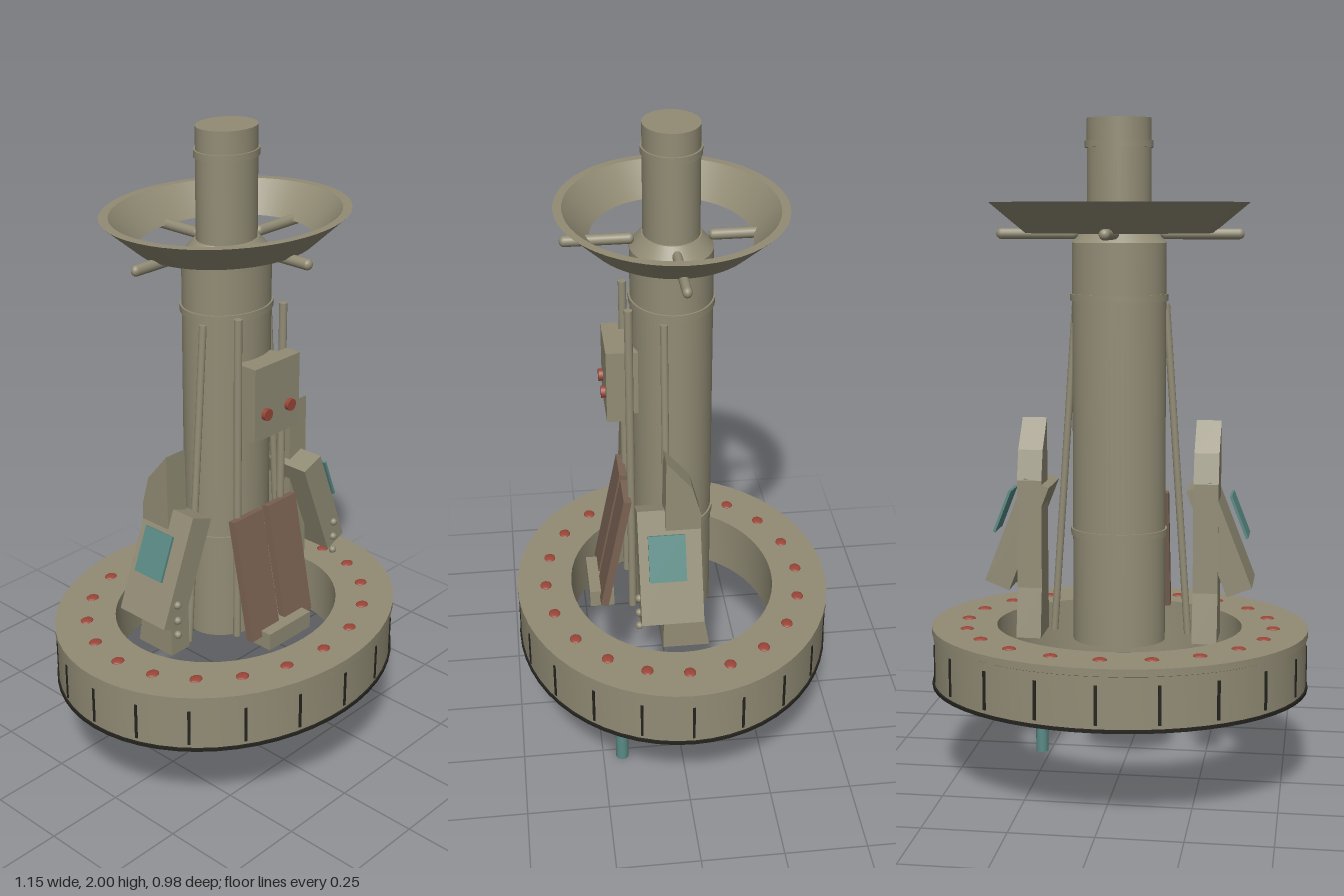
import * as THREE from 'three';
import { toCreasedNormals } from 'three/addons/utils/BufferGeometryUtils.js';

const mat = (name, color) => {
  const m = new THREE.MeshStandardMaterial({ color });
  m.name = name;
  return m;
};

export function createModel() {
  const olive = mat('olive metal', 0x928c75);
  const red = mat('red', 0x9a4538);
  const teal = mat('teal', 0x5a8a85);
  const brown = mat('brown', 0x7b6353);
  const dark = mat('dark seam', 0x24231e);

  const model = new THREE.Group();
  model.name = 'tower';
  // Everything turned on the main axis is slightly flattened front to back
  const round = new THREE.Group();
  round.name = 'roundParts';
  round.scale.z = 0.85;
  model.add(round);

  const add = (parent, name, geo, material, x = 0, y = 0, z = 0) => {
    const m = new THREE.Mesh(geo, material);
    m.name = name;
    m.position.set(x, y, z);
    parent.add(m);
    return m;
  };
  const lathe = (name, pts, material = olive) => add(round, name, toCreasedNormals(
    new THREE.LatheGeometry(pts.map(p => new THREE.Vector2(...p)), 56), 0.35), material);
  const box = (w, h, d) => new THREE.BoxGeometry(w, h, d);
  const rod = (name, a, b, r, material = olive) => {
    const p = new THREE.Vector3(...a), q = new THREE.Vector3(...b);
    const dir = q.clone().sub(p);
    const m = add(model, name, new THREE.CylinderGeometry(r, r, dir.length(), 14), material);
    m.position.copy(p).add(q).multiplyScalar(0.5);
    m.quaternion.setFromUnitVectors(new THREE.Vector3(0, 1, 0), dir.normalize());
    return m;
  };

  // Base ring with dark lower seam
  lathe('baseRing', [[0.375, 0.302], [0.57, 0.302], [0.57, 0.46], [0.575, 0.462],
    [0.575, 0.484], [0.375, 0.484], [0.375, 0.302]]);
  lathe('baseSeam', [[0.565, 0.299], [0.576, 0.299], [0.576, 0.309], [0.565, 0.309], [0.565, 0.299]], dark);
  const boltGeo = new THREE.SphereGeometry(0.021, 16, 6, 0, Math.PI * 2, 0, Math.PI / 2);
  boltGeo.scale(1, 0.3, 1);
  for (let i = 0; i < 20; i++) {
    const a = i * Math.PI / 10, s = Math.sin(a), c = Math.cos(a);
    add(round, 'ringBolt', boltGeo, red, 0.47 * s, 0.484, 0.47 * c);
    add(round, 'ringSlit', box(0.009, 0.115, 0.008), dark, 0.569 * s, 0.378, 0.569 * c).rotation.y = a;
  }

  // Central column, neck and bands
  lathe('column', [[0, 0.44], [0.14, 0.44], [0.14, 1.64], [0.125, 1.655], [0.1, 1.68], [0, 1.68]]);
  lathe('neck', [[0, 1.66], [0.095, 1.66], [0.095, 2], [0, 2]]);
  for (const [y, r] of [[0.775, 0.14], [1.48, 0.14], [1.925, 0.095]]) {
    lathe('band', [[r - 0.005, y - 0.01], [r + 0.006, y - 0.01], [r + 0.006, y + 0.01],
      [r - 0.005, y + 0.01], [r - 0.005, y - 0.01]]);
  }

  // Flared dish and its four spokes
  lathe('dish', [[0.27, 1.668], [0.278, 1.668], [0.386, 1.757], [0.357, 1.757], [0.27, 1.668]]);
  for (let i = 0; i < 4; i++) {
    const a = i * Math.PI / 2;
    const spoke = add(round, 'spoke', new THREE.CapsuleGeometry(0.016, 0.215, 6, 14), olive,
      0.246 * Math.cos(a), 1.666, 0.246 * Math.sin(a));
    spoke.rotation.set(0, -a, Math.PI / 2);
  }

  // Control box with two buttons
  add(model, 'controlBox', box(0.19, 0.225, 0.05), olive, 0, 1.243, 0.174);
  add(model, 'controlBoxBack', box(0.15, 0.2, 0.05), olive, 0, 1.243, 0.13);

  // Foot block below the front panels
  add(model, 'footBlock', box(0.185, 0.055, 0.075), olive, 0, 0.488, 0.228);

  // Pylon side profile, drawn as (-z, y)
  const profile = new THREE.Shape([[-0.06, 0.45], [0.08, 0.45], [0.055, 0.6], [0.05, 0.93],
    [0.025, 1.02], [-0.05, 1.11]].map(p => new THREE.Vector2(...p)));
  const pylonGeo = new THREE.ExtrudeGeometry(profile, { depth: 0.075, bevelEnabled: false });
  pylonGeo.translate(0, 0, -0.0375);
  pylonGeo.rotateY(Math.PI / 2);

  for (const s of [-1, 1]) {
    const button = add(model, 'button', new THREE.CylinderGeometry(0.018, 0.018, 0.014, 16), red, s * 0.05, 1.208, 0.205);
    button.rotation.x = Math.PI / 2;

    // Leaning front panels
    add(model, 'frontPanel', box(0.123, 0.385, 0.024), brown, s * 0.074, 0.682, 0.185).rotation.x = -0.2;

    // Front pipes and slanted struts
    rod('frontPipe', [s * 0.095, 0.46, 0.133], [s * 0.095, 1.49, 0.133], 0.012);
    rod('strut', [s * 0.207, 0.45, 0.037], [s * 0.137, 1.46, 0.037], 0.011);

    // Side pylon with tilted equipment case and plate
    add(model, 'pylon', pylonGeo, olive, s * 0.267, 0, 0);
    add(model, 'sideCase', box(0.08, 0.342, 0.183), olive, s * 0.307, 0.763, 0.042).rotation.z = s * 0.372;
    add(model, 'sidePlate', box(0.008, 0.138, 0.108), teal, s * 0.363, 0.823, 0.054).rotation.z = s * 0.372;
    for (const y of [0.68, 0.628, 0.58]) {
      add(model, 'caseStud', new THREE.SphereGeometry(0.012, 12, 8), olive, s * 0.353, y, 0.136);
    }
  }

  // Hanging probe with a red tip
  rod('probe', [0.278, 0, 0.19], [0.278, 0.29, 0.19], 0.02, teal);
  add(model, 'probeTip', new THREE.ConeGeometry(0.02, 0.055, 14), red, 0.278, 0.3175, 0.19);

  return model;
}
